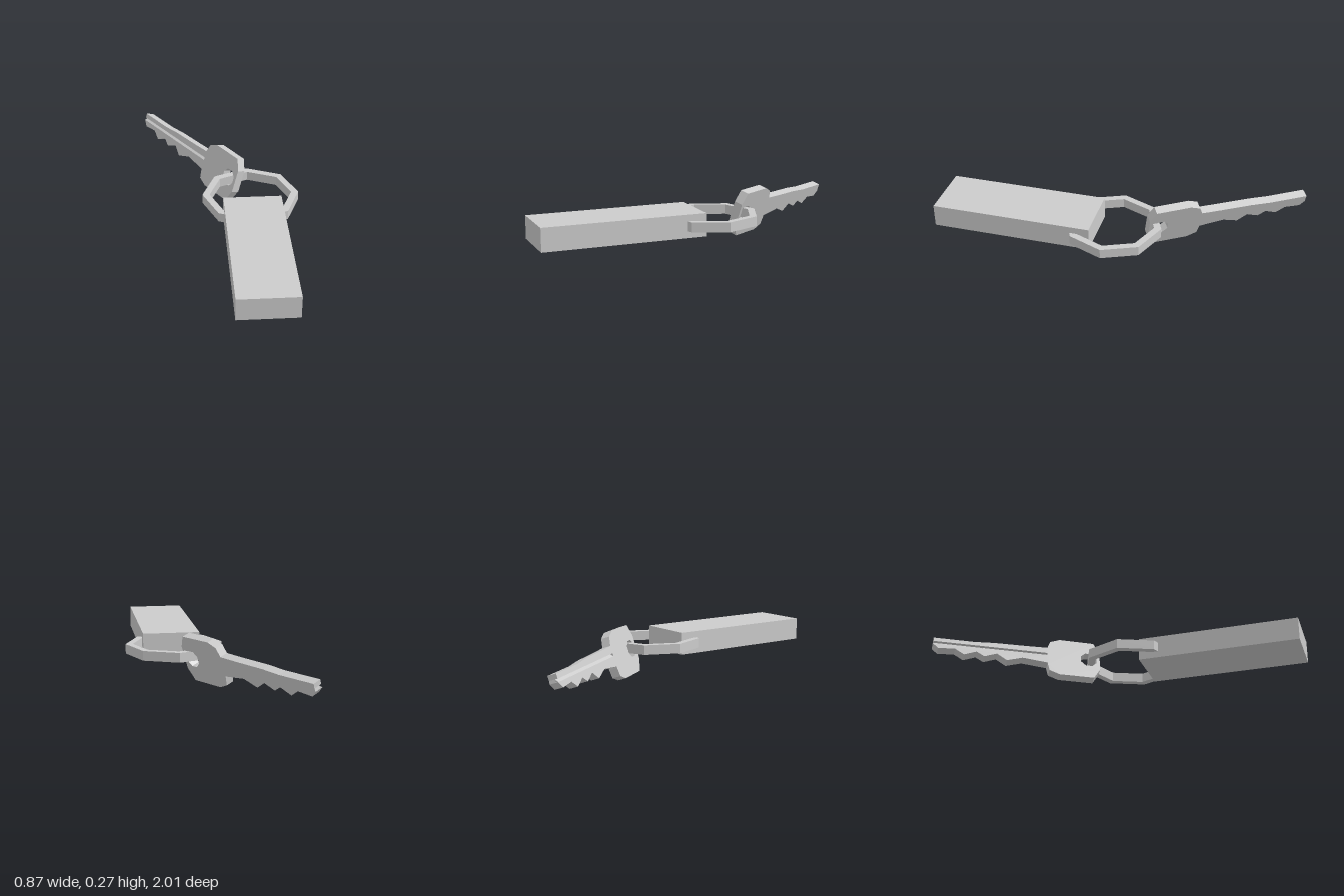
import * as THREE from 'three';

const material = new THREE.MeshStandardMaterial({ color: 0xcccccc, flatShading: true });

function mesh(name, geometry) {
  const m = new THREE.Mesh(geometry, material);
  m.name = name;
  return m;
}

const outline = (pts) => new THREE.Shape(pts.map(([x, y]) => new THREE.Vector2(x, y)));

function octagon(r, cx = 0, cy = 0, turn = 0) {
  return Array.from({ length: 8 }, (_, i) => {
    const a = turn + (i * Math.PI) / 4;
    return [cx + r * Math.cos(a), cy + r * Math.sin(a)];
  });
}

// Plate cut from an outline, lying between z = back and z = front
function plate(shape, back, front) {
  return new THREE.ExtrudeGeometry(shape, { depth: front - back, bevelEnabled: false })
    .translate(0, 0, back);
}

function createKey() {
  const key = new THREE.Group();
  key.name = 'key';
  const thick = 0.0495, groove = 0.016, joint = 0.033;

  // Head with the hole for the ring
  const head = outline([
    [joint, -0.067], [0.041, -0.114], [0.099, -0.138], [0.3, -0.136], [0.341, -0.067],
    [0.343, 0.067], [0.311, 0.132], [0.109, 0.132], [0.053, 0.107], [joint, 0.058],
  ]);
  head.holes.push(outline(octagon(0.05, 0.276, 0, Math.PI / 8)));
  key.add(mesh('keyHead', plate(head, -thick, 0)));

  // Blade: straight back above, teeth below
  const top = [[joint, 0.058], [-0.085, 0.053], [-0.272, 0.048], [-0.387, 0.038], [-0.616, 0.036]];
  const teeth = [
    [-0.589, -0.04], [-0.495, -0.031], [-0.444, -0.067], [-0.374, -0.035], [-0.33, -0.064],
    [-0.258, -0.033], [-0.203, -0.075], [-0.112, -0.042], [joint, -0.058],
  ];
  const wall = [[-0.615, 0.01], [joint, 0.017]];
  const ramp = [[joint, 0], [-0.619, -0.007]];
  key.add(mesh('bladeCore', plate(outline([...top, wall[0], ramp[1], ...teeth]), -thick, -groove)));
  key.add(mesh('bladeUpperFace', plate(outline([...top, ...wall]), -groove, 0)));
  key.add(mesh('bladeLowerFace', plate(outline([...ramp, ...teeth]), -groove, 0)));

  // Sloping floor of the groove
  const floor = new THREE.ExtrudeGeometry(outline([[0, 0], [groove, 0], [0, 0.017]]),
    { depth: 0.65, bevelEnabled: false });
  floor.rotateY(-Math.PI / 2).rotateZ(0.0107).translate(joint, 0, -groove);
  key.add(mesh('grooveFloor', floor));

  // Leans back and swings away behind the ring
  key.rotation.set(-0.322, -0.997, 0, 'YXZ');
  key.position.set(-0.1, 0.15, -0.456);
  return key;
}

export function createModel() {
  const model = new THREE.Group();
  model.name = 'keyOnRing';

  // Fob
  const fob = mesh('fob', new THREE.BoxGeometry(0.326, 0.128, 0.905));
  fob.position.set(0.163, 0.149, 0.5475);
  model.add(fob);

  // Eight-sided flat ring
  const band = outline(octagon(0.273));
  band.holes.push(outline(octagon(0.232)));
  const ring = mesh('ring', plate(band, -0.027, 0.027).rotateX(-Math.PI / 2));
  ring.position.set(0.161, 0.149, 0);
  model.add(ring);

  model.add(createKey());
  return model;
}
